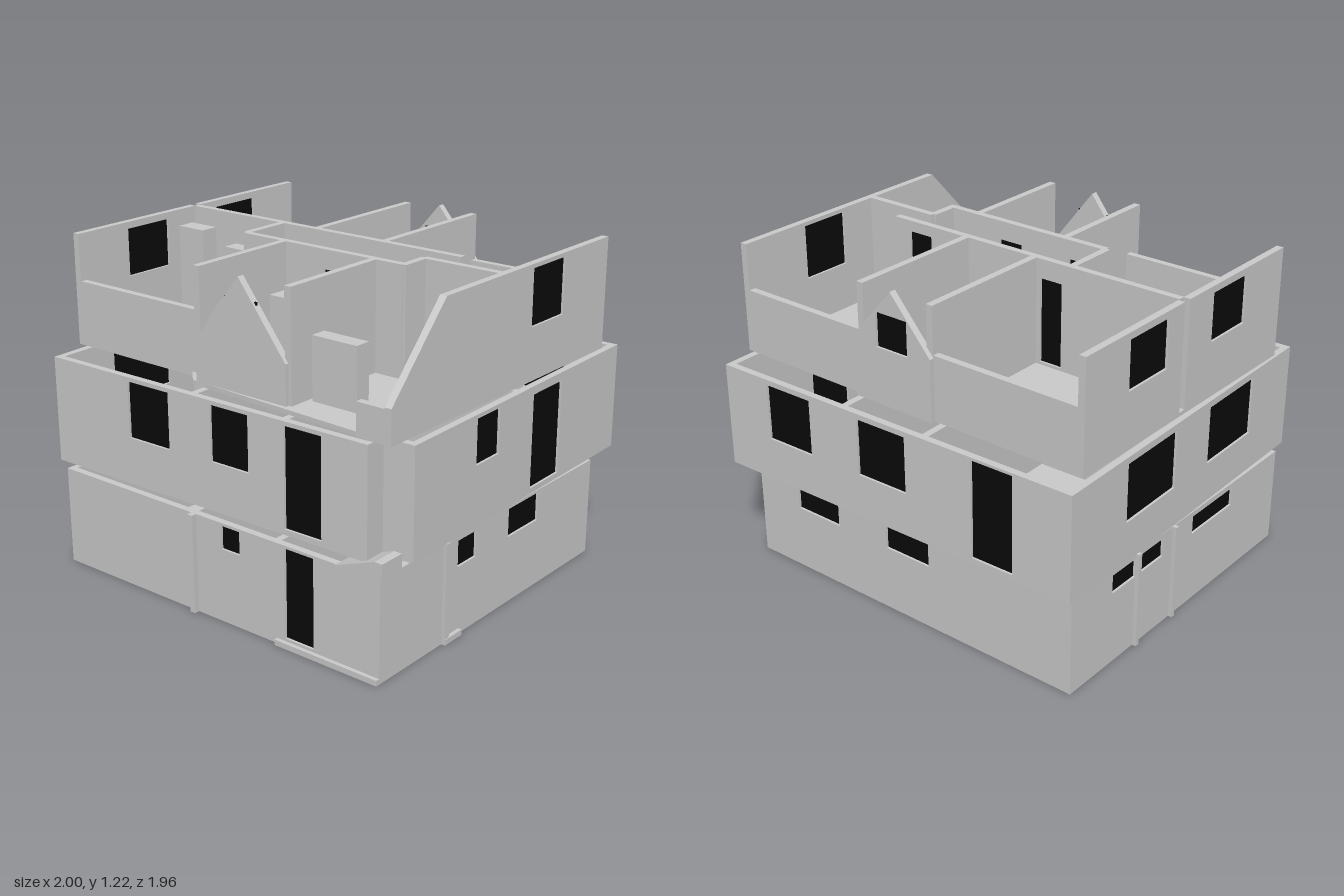
import * as THREE from 'three';

const grey = new THREE.MeshStandardMaterial({ color: 0xcccccc, flatShading: true });
const black = new THREE.MeshStandardMaterial({ color: 0x0a0a0a, flatShading: true });
const T = 0.026; // wall thickness

function mesh(parent, name, geo, mat = grey) {
  const m = new THREE.Mesh(geo, mat);
  m.name = name;
  parent.add(m);
  return m;
}

function box(parent, name, x0, x1, y0, y1, z0, z1, mat) {
  const m = mesh(parent, name, new THREE.BoxGeometry(x1 - x0, y1 - y0, z1 - z0), mat);
  m.position.set((x0 + x1) / 2, (y0 + y1) / 2, (z0 + z1) / 2);
  return m;
}

// Upright wall with a polygon outline (s, y); openings are [s0, s1, y0, y1] and get a dark pane.
// axis 'x': runs along x at z = at; axis 'z': runs along z at x = at.
function panel(parent, name, axis, at, outline, openings = []) {
  const group = new THREE.Group();
  group.name = name;
  const shape = new THREE.Shape(outline.map(([s, y]) => new THREE.Vector2(s, y)));
  for (const [s0, s1, y0, y1] of openings) {
    shape.holes.push(new THREE.Path([[s0, y0], [s0, y1], [s1, y1], [s1, y0]].map(([s, y]) => new THREE.Vector2(s, y))));
    box(group, 'windowPane', s0, s1, y0, y1, -0.004, 0.004, black);
  }
  const geo = new THREE.ExtrudeGeometry(shape, { depth: T, bevelEnabled: false });
  geo.translate(0, 0, -T / 2);
  mesh(group, name + 'Panel', geo);
  if (axis === 'z') {
    group.rotation.y = -Math.PI / 2;
    group.position.x = at;
  } else group.position.z = at;
  parent.add(group);
}

const wall = (parent, name, axis, at, s0, s1, y0, y1, openings) =>
  panel(parent, name, axis, at, [[s0, y0], [s1, y0], [s1, y1], [s0, y1]], openings);

// Flat floor plate from a plan outline (x, z)
function slab(parent, name, plan, y0, y1) {
  const shape = new THREE.Shape(plan.map(([x, z]) => new THREE.Vector2(x, -z)));
  const geo = new THREE.ExtrudeGeometry(shape, { depth: y1 - y0, bevelEnabled: false });
  geo.rotateX(-Math.PI / 2).translate(0, y0, 0);
  mesh(parent, name, geo);
}

function storey(root, name, degrees) {
  const g = new THREE.Group();
  g.name = name;
  g.rotation.y = -THREE.MathUtils.degToRad(degrees);
  root.add(g);
  return g;
}

function groundFloor(root) {
  const g = storey(root, 'groundFloor', 38);
  const [x0, x1, z0, z1, h] = [-0.72, 0.705, -0.59, 0.67, 0.365], i = T / 2;
  slab(g, 'groundSlab', [[x0, z0], [x1, z0], [x1, z1 + 0.015], [0.28, z1 + 0.015], [0.28, z1], [x0, z1]], 0, 0.02);
  wall(g, 'frontWall', 'x', z1 - i, x0, x1, 0, h, [[0.037, 0.119, 0.27, 0.355], [0.316, 0.437, 0.03, 0.355]]);
  wall(g, 'backWall', 'x', z0 + i, x0, x1, 0, h, [[0.31, 0.51, 0.245, 0.35], [-0.114, 0.08, 0.245, 0.35]]);
  wall(g, 'gardenWall', 'z', x1 - i, z0, z1, 0, h, [[0.147, 0.252, 0.25, 0.345], [-0.234, -0.048, 0.25, 0.355]]);
  wall(g, 'streetWall', 'z', x0 + i, z0, z1, 0, h,
    [[-0.367, -0.237, 0.275, 0.345], [-0.204, -0.074, 0.275, 0.345], [0.11, 0.365, 0.275, 0.345]]);
  // slim pilasters and their feet
  box(g, 'frontPilaster', -0.1, -0.077, 0, h, z1, z1 + 0.02);
  box(g, 'sidePilaster', x1, x1 + 0.012, 0, h, 0.31, 0.335);
  box(g, 'sideFoot', x1, x1 + 0.015, 0, 0.02, 0.24, 0.335);
  for (const z of [-0.23, -0.01]) box(g, 'streetPilaster', x0 - 0.015, x0, 0, h, z - 0.008, z + 0.008);
  // partitions
  wall(g, 'hallPartition', 'x', 0.02, x0, x1, 0.02, h);
  for (const [x, a, b] of [[-0.15, z0, 0], [0.2, z0, 0], [-0.1, 0.03, z1], [0.27, 0.03, z1]])
    wall(g, 'crossPartition', 'z', x, a + i, b - i, 0.02, h);
  // porch canopy sloping up to the corner
  const profile = new THREE.Shape([[0.53, h], [0.72, h], [0.72, 0.425], [0.69, 0.425]].map(p => new THREE.Vector2(...p)));
  const canopy = mesh(g, 'porchCanopy', new THREE.ExtrudeGeometry(profile, { depth: 0.1, bevelEnabled: false }));
  canopy.position.z = 0.58;
}

function middleFloor(root) {
  const g = storey(root, 'middleFloor', 36.8);
  const [x0, x1, z0, z1, y, h] = [-0.747, 0.747, -0.671, 0.671, 0.4, 0.79], i = T / 2;
  const [nx, nz] = [0.63, 0.59]; // recessed corner
  slab(g, 'middleSlab', [[x0, z0], [x1, z0], [x1, nz], [nx, nz], [nx, z1], [x0, z1]], y, y + 0.02);
  wall(g, 'frontWall', 'x', z1 - i, x0, nx, y, h,
    [[-0.387, -0.2, 0.57, 0.775], [-0.012, 0.15, 0.575, 0.775], [0.3, 0.45, 0.42, 0.775]]);
  wall(g, 'backWall', 'x', z0 + i, x0, x1, y, h,
    [[0.346, 0.546, 0.56, 0.77], [-0.08, 0.128, 0.56, 0.77], [-0.52, -0.356, 0.42, 0.78]]);
  wall(g, 'gardenWall', 'z', x1 - i, z0, nz, y, h, [[0.114, 0.247, 0.615, 0.775], [-0.279, -0.095, 0.42, 0.76]]);
  wall(g, 'streetWall', 'z', x0 + i, z0, z1, y, h, [[-0.367, -0.083, 0.55, 0.765], [0.125, 0.41, 0.55, 0.765]]);
  wall(g, 'recessSide', 'z', nx - i, nz - T, z1, y, h);
  wall(g, 'recessBack', 'x', nz - i, nx - T, x1, y, h);
  // partitions
  wall(g, 'hallPartition', 'x', -0.02, x0 + i, x1 - i, y, h);
  for (const [x, a, b] of [[-0.15, z0, -0.02], [0.2, z0, -0.02], [-0.1, 0, z1], [0.29, 0, z1]])
    wall(g, 'crossPartition', 'z', x, a + i, b - i, y, h);
}

// Pointed dormer front with a window
function dormer(g, name, z, xc, half, base, eave, peak, win) {
  panel(g, name, 'x', z, [[xc - half, base], [xc + half, base], [xc + half, eave], [xc, peak], [xc - half, eave]],
    [[xc - 0.067, xc + 0.067, win, 1.135]]);
}

function upperFloor(root) {
  const g = storey(root, 'upperFloor', 38);
  const [x0, x1, z0, z1, zF, y, h, knee] = [-0.74, 0.733, -0.572, 0.56, 0.66, 0.805, 1.21, 1.04], i = T / 2;
  slab(g, 'upperSlab', [[x0, z0], [x1, z0], [x1, zF], [-0.12, zF - 0.04], [-0.18, z1], [x0, z1]], y, y + 0.015);
  // knee walls under the eaves
  wall(g, 'backKneeWall', 'x', z0 + i, x0, x1, y, knee);
  wall(g, 'frontKneeWall', 'x', z1 - i, x0, -0.1, y, knee);
  wall(g, 'cornerKneeWall', 'x', zF - i, 0.6, x1, y, 0.92);
  // gable end walls
  panel(g, 'gardenGable', 'z', x1 - i, [[z0, y], [zF, y], [zF, 0.925], [0.39, h], [z0, h]], [[-0.292, -0.097, 0.995, 1.195]]);
  wall(g, 'streetGableBack', 'z', x0 + i, z0, -0.05, y, h, [[-0.344, -0.136, 1.01, 1.185]]);
  wall(g, 'streetGableFront', 'z', x0 + i, -0.02, z1, y, h, [[0.123, 0.325, 1.01, 1.185]]);
  // dormers
  dormer(g, 'frontDormer', 0.61, 0.095, 0.195, y, 0.96, 1.21, 0.98);
  dormer(g, 'backDormer', z0 - 0.005, 0.02, 0.165, y, 1.03, 1.22, 1.01);
  // corridor walls
  wall(g, 'corridorBackWall', 'x', -0.03, x0 + T, 0.5, y, h, [[0.2, 0.3, 0.83, 1.14], [0.33, 0.43, 0.83, 1.17], [-0.25, -0.16, 0.83, 1.14]]);
  wall(g, 'corridorFrontWall', 'x', 0.17, -0.28, 0.41, y, h, [[-0.22, -0.13, 0.83, 1.14], [0.08, 0.18, 0.83, 1.14]]);
  wall(g, 'corridorEnd', 'z', -0.28, -0.02, 0.17, y, h);
  wall(g, 'corridorStep', 'z', 0.41, 0.06, 0.18, y, h);
  wall(g, 'gardenRoomWall', 'x', 0.06, 0.41, x1 - T, y, h);
  // cross partitions between rooms
  for (const [x, a, b] of [[-0.13, z0, -0.04], [0.17, z0, -0.04], [-0.1, 0.18, 0.61], [0.29, 0.18, 0.61]])
    wall(g, 'crossPartition', 'z', x, a, b, y, h);
  // built-in cupboards, flues and low furniture
  box(g, 'tallCupboard', -0.71, -0.59, y, 1.15, 0.0, 0.07);
  box(g, 'flue', -0.5, -0.41, y, 1.1, -0.01, 0.05);
  box(g, 'hallCupboard', -0.1, -0.01, y, 1.04, 0.19, 0.27);
  box(g, 'lowCupboard', 0.32, 0.5, y, 1.04, 0.47, 0.53);
  box(g, 'washstand', -0.1, 0.0, y, 0.95, -0.15, -0.06);
  box(g, 'sideboard', -0.71, -0.66, y, 0.92, -0.15, -0.06);
  box(g, 'bed', 0.23, 0.52, y, 0.85, -0.47, -0.24);
}

export function createModel() {
  const root = new THREE.Group();
  root.name = 'explodedHouse';
  groundFloor(root);
  middleFloor(root);
  upperFloor(root);
  return root;
}
